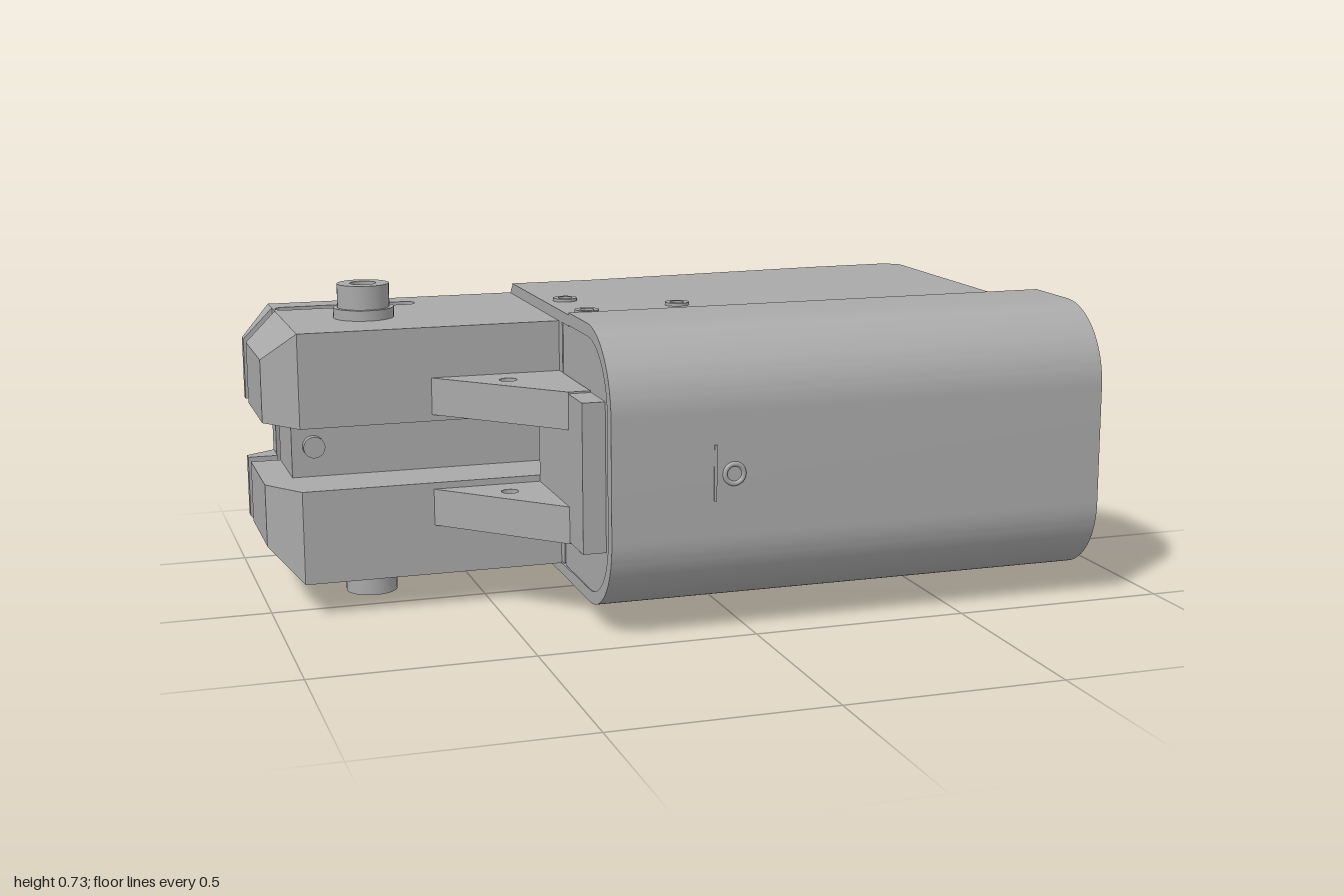
import * as THREE from 'three';
import { toCreasedNormals } from 'three/addons/utils/BufferGeometryUtils.js';
import { ConvexGeometry } from 'three/addons/geometries/ConvexGeometry.js';

const CY = 0.368; // mirror height of the whole model

export function createModel() {
  const model = new THREE.Group();
  const grey = new THREE.MeshStandardMaterial({ color: 0xa9a9a9 });

  const add = (name, geo) => {
    const mesh = new THREE.Mesh(geo, grey);
    mesh.name = name;
    model.add(mesh);
    return mesh;
  };
  // box given by its limits
  const box = (name, x0, x1, y0, y1, z0, z1) => add(name,
    new THREE.BoxGeometry(x1 - x0, y1 - y0, z1 - z0).translate((x0 + x1) / 2, (y0 + y1) / 2, (z0 + z1) / 2));
  const poly = pts => new THREE.Shape(pts.map(p => new THREE.Vector2(...p)));
  const hole = (s, x, y, r) => { s.holes.push(new THREE.Path().absarc(x, y, r, 0, Math.PI * 2, true)); return s; };
  const rounded = (x0, x1, y0, y1, r, rr = r, P = THREE.Shape) => { // r: left corners, rr: right corners
    const s = new P();
    s.moveTo(x0 + r, y0); s.lineTo(x1 - rr, y0);
    s.absarc(x1 - rr, y0 + rr, rr, -Math.PI / 2, 0, false);
    s.absarc(x1 - rr, y1 - rr, rr, 0, Math.PI / 2, false);
    s.absarc(x0 + r, y1 - r, r, Math.PI / 2, Math.PI, false);
    s.absarc(x0 + r, y0 + r, r, Math.PI, Math.PI * 1.5, false);
    return s;
  };
  const extrude = (s, depth, bevel = 0) => new THREE.ExtrudeGeometry(s, {
    depth, curveSegments: 16, bevelEnabled: bevel > 0, bevelSize: bevel, bevelThickness: bevel, bevelOffset: -bevel, bevelSegments: 3 });
  // section drawn as (-z, y), run along x
  const alongX = (name, s, x0, x1) => add(name,
    toCreasedNormals(extrude(s, x1 - x0).rotateY(Math.PI / 2).translate(x0, 0, 0), 0.6));
  // plan drawn as (x, -z), run along y
  const alongY = (name, s, y0, y1) => add(name,
    toCreasedNormals(extrude(s, y1 - y0).rotateX(-Math.PI / 2).translate(0, y0, 0), 0.6));
  // the same range at the top and mirrored at the bottom
  const pairs = (y0, y1) => [[y0, y1], [2 * CY - y1, 2 * CY - y0]];
  // ring with an open bore, axis y
  const ring = (name, x, z, r, ri, y0, y1) => alongY(name, hole(new THREE.Shape().absarc(x, -z, r, 0, Math.PI * 2), x, -z, ri), y0, y1);
  const rodZ = (name, x, y, r, z0, z1) => add(name,
    new THREE.CylinderGeometry(r, r, z1 - z0, 28).rotateX(Math.PI / 2).translate(x, y, (z0 + z1) / 2));
  const flare = x => 0.03 * THREE.MathUtils.clamp((x + 0.13) / 0.61, 0, 1);

  // front sleeve: open C section with large front corners
  const c = new THREE.Shape();
  c.moveTo(-0.155, 0.053);
  c.lineTo(-0.31, 0.053);
  c.absarc(-0.31, 0.233, 0.18, -Math.PI / 2, -Math.PI, true);
  c.absarc(-0.31, 0.507, 0.18, Math.PI, Math.PI / 2, true);
  c.lineTo(-0.155, 0.687); c.lineTo(-0.155, 0.658); c.lineTo(-0.31, 0.658);
  c.absarc(-0.31, 0.507, 0.151, Math.PI / 2, Math.PI, false);
  c.absarc(-0.31, 0.233, 0.151, Math.PI, Math.PI * 1.5, false);
  c.lineTo(-0.155, 0.082);
  alongX('frontSleeve', c, -0.33, 0.845);
  alongX('sleeveEndCap', hole(rounded(-0.462, -0.1, 0.082, 0.658, 0.15, 0.01), -0.23, 0.22, 0.075), -0.328, -0.3);

  // top and bottom cover plates
  const plate = poly([[-0.33, -0.155], [0.73, -0.155], [0.73, 0.4], [0.7, 0.43], [0.48, 0.425], [-0.13, 0.375], [-0.33, 0.375]]);
  for (const [y0, y1] of pairs(0.656, 0.682)) alongY('coverPlate', plate, y0, y1);

  // back wall with rounded corners, flaring toward the open end
  const wall = new THREE.Shape();
  wall.moveTo(0.35, 0.054);
  wall.absarc(0.35, 0.104, 0.05, -Math.PI / 2, 0, false);
  wall.absarc(0.35, 0.632, 0.05, 0, Math.PI / 2, false);
  wall.lineTo(0.35, 0.656);
  wall.absarc(0.35, 0.632, 0.024, Math.PI / 2, 0, true);
  wall.absarc(0.35, 0.104, 0.024, 0, -Math.PI / 2, true);
  for (const [x0, x1] of [[-0.33, -0.13], [-0.13, 0.48]]) {
    const m = alongX('backWall', wall, x0, x1), p = m.geometry.attributes.position;
    for (let i = 0; i < p.count; i++) p.setZ(i, p.getZ(i) - flare(p.getX(i)));
    m.geometry = toCreasedNormals(m.geometry, 0.6);
  }
  box('backWallRear', -0.93, -0.33, 0.08, 0.656, -0.4, -0.375);

  // slotted grip panel over the back wall
  const outline = () => poly([[-0.93, 0.106], [-0.88, 0.106], [-0.8, 0.106], [-0.13, 0.106], [0.48, 0.106],
    [0.48, 0.63], [-0.13, 0.63], [-0.8, 0.63], [-0.88, 0.63], [-0.93, 0.63]]);
  const slotted = outline();
  for (let i = 0; i < 22; i++) {
    const x = -0.7 + i * 0.051;
    slotted.holes.push(rounded(x - 0.011, x + 0.011, 0.17, 0.57, 0.0109, 0.0109, THREE.Path));
  }
  const bend = (geo, z0) => { // lies at the back, follows the flare and tapers at the rear end
    const p = geo.attributes.position;
    for (let i = 0; i < p.count; i++) {
      const x = p.getX(i), t = THREE.MathUtils.clamp((-0.8 - x) / 0.13, 0, 1);
      p.setZ(i, z0 + p.getZ(i) - flare(x) + 0.05 * t * t);
    }
    return toCreasedNormals(geo, 0.6);
  };
  add('gripPanelBase', bend(extrude(outline(), 0.035), -0.432));
  add('gripPanelSlots', bend(extrude(slotted, 0.026, 0.008), -0.452));

  // rear block in three layers, the middle one set back as a channel
  const block = z => hole(poly([[-0.93, -z], [-0.33, -z], [-0.33, 0.28], [-0.93, 0.28]]), -0.74, 0.13, 0.03);
  for (const [y0, y1] of pairs(0.44, 0.656)) alongY('rearBlock', block(0.07), y0, y1);
  alongY('rearChannelFloor', block(-0.08), 0.296, 0.44);
  rodZ('channelPin', -0.88, CY, 0.025, -0.15, -0.06);

  // chamfered rear nose, upper and lower
  for (const s of [1, -1]) {
    const nose = (name, zs) => add(name, new ConvexGeometry(zs.flatMap(([x, h, z]) =>
      [0.072, h].map(y => new THREE.Vector3(x, CY + s * y, z)))));
    nose('rearNose', [[-0.93, 0.288, -0.28], [-0.93, 0.288, 0.07], [-1, 0.217, -0.03], [-1, 0.217, -0.28]]);
    nose('rearNoseEdge', [[-0.93, 0.288, -0.4], [-0.93, 0.288, -0.33], [-1, 0.217, -0.33], [-1, 0.217, -0.355]]);
  }

  // slotted side rails of the rear block
  const rail = poly([[-0.93, 0.28], [-0.33, 0.28], [-0.33, 0.4], [-0.93, 0.4]]);
  rail.holes.push(rounded(-0.925, -0.59, 0.287, 0.332, 0.022, 0.022, THREE.Path));
  for (const [y0, y1] of pairs(0.625, 0.656)) alongY('slottedRail', rail, y0, y1);
  for (const [y0, y1] of pairs(0.555, 0.64)) box('railSpacer', -0.55, -0.35, y0, y1, -0.375, -0.28);
  rodZ('wallPin', -0.2, CY, 0.025, -0.39, -0.34);

  // rear bolts
  for (const [y0, y1] of pairs(0.655, 0.68)) ring('boltWasher', -0.745, -0.13, 0.07, 0.03, y0, y1);
  for (const [y0, y1] of pairs(0.675, 0.735)) ring('boltHead', -0.745, -0.13, 0.06, 0.03, y0, y1);

  // triangular gussets and the bracket they carry
  const gusset = hole(poly([[-0.63, -0.07], [-0.38, -0.33], [-0.33, -0.33], [-0.33, -0.07]]), -0.47, -0.145, 0.02);
  for (const [y0, y1] of pairs(0.455, 0.54)) alongY('gusset', gusset, y0, y1);
  box('bracket', -0.38, -0.325, 0.2, 0.536, 0.07, 0.44);

  // inner core: twin-bored front part and shorter rear part
  const bored = rounded(-0.37, -0.08, 0.084, 0.656, 0.02);
  hole(hole(bored, -0.23, 0.22, 0.125), -0.23, 0.516, 0.125);
  alongX('boredCore', bored, -0.3, 0.68);
  alongX('rearCore', rounded(-0.1, 0.28, 0.084, 0.656, 0.01, 0.05), -0.33, 0.3);
  for (const y of [0.22, 0.516]) {
    alongX('boreSeat', hole(new THREE.Shape().absarc(-0.23, y, 0.125, 0, Math.PI * 2), -0.23, y, 0.075), -0.3, -0.05);
    rodZ('coreScrew', 0.2, y, 0.06, 0.36, 0.415);
  }

  // end plate with two screws
  alongX('beam', rounded(-0.06, 0.2, 0.3, 0.436, 0.01), 0.3, 0.75);
  const end = rounded(-0.075, 0.215, 0.15, 0.59, 0.035);
  for (const y of [0.22, 0.516]) {
    hole(end, 0.14, y, 0.025);
    hole(end, -0.027, y, 0.025);
    alongX('endScrew', hole(new THREE.Shape().absarc(-0.027, y, 0.05, 0, Math.PI * 2), -0.027, y, 0.025), 0.76, 0.772);
  }
  alongX('endPlate', end, 0.73, 0.765);

  // clevis: block, rollers and small lugs
  box('clevisBlock', 0.76, 0.93, 0.31, 0.426, -0.2, -0.05);
  box('clevisWeb', 0.76, 0.86, 0.33, 0.406, -0.05, 0.05);
  for (const [y0, y1] of pairs(0.455, 0.52)) {
    ring('roller', 0.88, -0.13, 0.073, 0.035, y0, y1);
    box('rollerArm', 0.76, 0.83, y0, y1 - 0.01, -0.19, -0.07);
  }
  add('rollerAxle', new THREE.CylinderGeometry(0.036, 0.036, 0.29, 24).translate(0.88, CY, -0.13));
  const lug = new THREE.Shape();
  lug.moveTo(0.76, 0.12);
  lug.lineTo(0.76, -0.045);
  lug.lineTo(0.958, -0.064);
  lug.absarc(0.958, -0.025, 0.04, -Math.PI / 2, Math.PI / 4, false);
  lug.lineTo(0.93, 0.12);
  hole(lug, 0.958, -0.025, 0.019);
  for (const [y0, y1] of pairs(0.41, 0.443)) alongY('lug', lug, y0, y1);

  // small flush screws on the covers and front
  for (const [y0, y1] of pairs(0.68, 0.689))
    for (const [x, z] of [[-0.28, -0.06], [-0.28, 0.13], [-0.05, 0.085]]) ring('coverScrew', x, z, 0.028, 0.016, y0, y1);
  add('frontScrew', new THREE.TorusGeometry(0.022, 0.006, 8, 24).translate(-0.05, CY, 0.489));
  box('frontSeam', -0.097, -0.091, 0.31, 0.435, 0.487, 0.493);

  return model;
}
